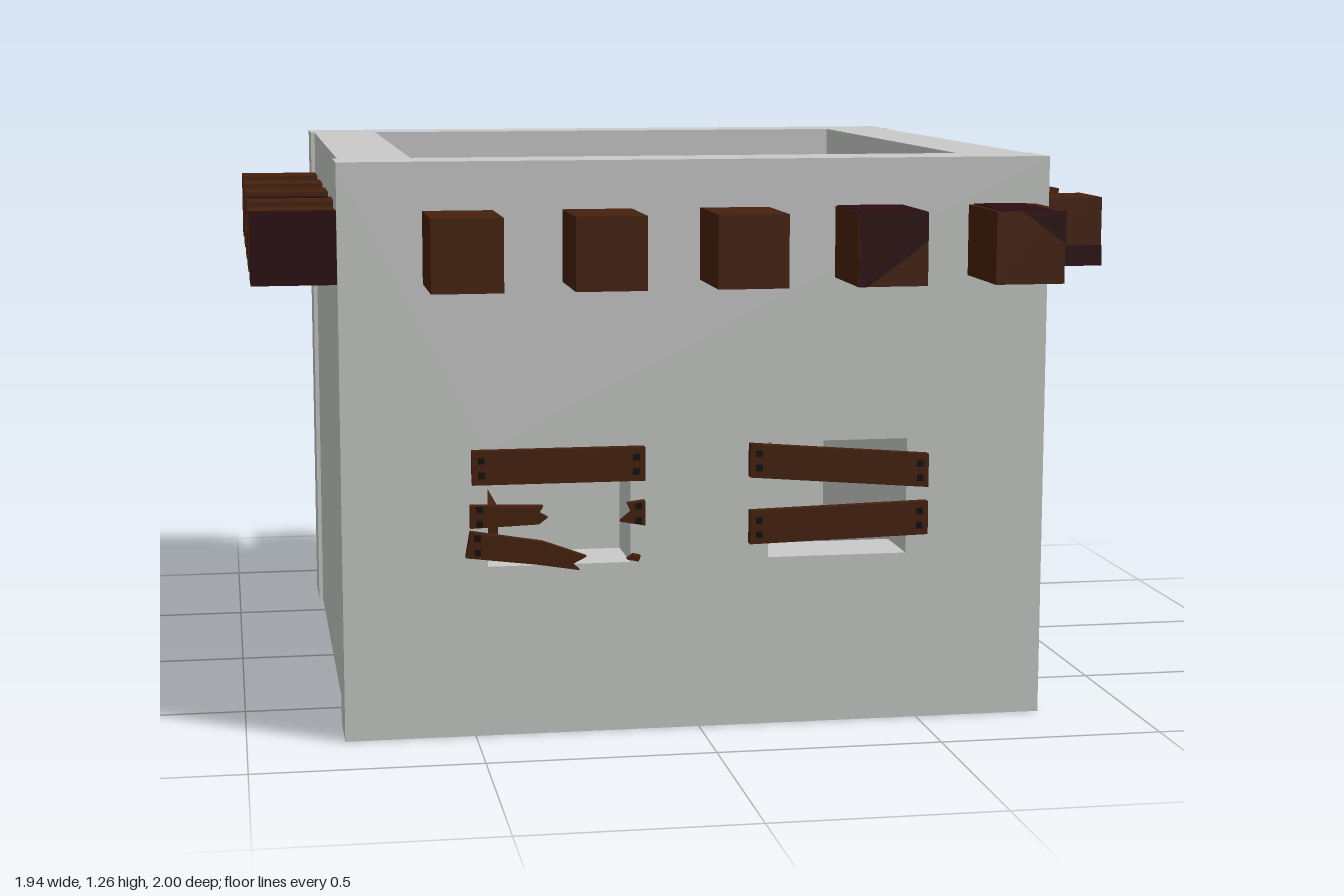
import * as THREE from 'three';

const mat = (name, color) => Object.assign(new THREE.MeshStandardMaterial({ color }), { name });

export function createModel() {
  const root = new THREE.Group();
  root.name = 'stoneHut';
  const stone = mat('stone', 0xc8cac8);
  const wood = mat('wood', 0x46210d);
  const grain = mat('darkGrain', 0x2b0d10);
  const iron = mat('iron', 0x120d0c);

  const add = (name, geo, material, parent = root) => {
    const m = new THREE.Mesh(geo, material);
    m.name = name;
    parent.add(m);
    return m;
  };
  // Box given by its minimum and maximum corners
  const box = (name, material, a, b, parent) => {
    const m = add(name, new THREE.BoxGeometry(b[0] - a[0], b[1] - a[1], b[2] - a[2]), material, parent);
    m.position.set((a[0] + b[0]) / 2, (a[1] + b[1]) / 2, (a[2] + b[2]) / 2);
    return m;
  };
  const poly = (pts) => new THREE.Shape(pts.map(([x, y]) => new THREE.Vector2(x, y)));
  const rect = (x0, y0, x1, y1) => [[x0, y0], [x1, y0], [x1, y1], [x0, y1]];
  const slab = (shape, depth) => new THREE.ExtrudeGeometry(shape, { depth, bevelEnabled: false });

  // Front and back walls with two window openings each
  const W = 0.787, H = 1.265, T = 0.155, IN = 0.632;
  for (const [name, z] of [['frontWall', IN], ['backWall', -W]]) {
    const shape = poly(rect(-W, 0, W, H));
    for (const x of [-0.47, 0.155]) {
      shape.holes.push(new THREE.Path(poly(rect(x, 0.38, x + 0.315, 0.64)).getPoints()));
    }
    add(name, slab(shape, T), stone).position.z = z;
  }

  // Side walls, slightly set back; the left one has the doorway
  const doorSide = poly([[-IN, 0], [0.17, 0], [0.17, 0.64], [0.53, 0.64], [0.53, 0], [IN, 0], [IN, H], [-IN, H]]);
  const plainSide = poly(rect(-IN, 0, IN, H));
  add('doorWall', slab(doorSide, 0.16).rotateY(-Math.PI / 2), stone).position.x = 0.777;
  add('plainWall', slab(plainSide, 0.16).rotateY(-Math.PI / 2), stone).position.x = -0.617;

  // Sunken roof deck with grain streaks
  box('roofDeck', wood, [-0.617, 1.0, -IN], [0.617, 1.16, IN]);
  const streaks = [
    [[-0.16, -0.63], [-0.1, -0.63], [-0.085, -0.1], [-0.05, 0.63], [-0.145, 0.63], [-0.125, 0.1]],
    [[0.15, -0.63], [0.23, -0.63], [0.29, -0.3], [0.36, 0.05], [0.45, 0.63], [0.305, 0.63], [0.265, 0.3], [0.22, -0.05]],
    [[0.1, 0.24], [0.115, 0.35], [0.15, 0.63], [0.135, 0.63]],
    [[0.54, -0.63], [0.61, -0.63], [0.575, -0.565], [0.55, -0.58]],
  ];
  for (const s of streaks) {
    const g = slab(poly(s.map(([x, z]) => [x, -z])), 0.003).rotateX(-Math.PI / 2);
    add('roofStreak', g, grain).position.y = 1.16;
  }

  // Beam ends around the walls
  const B0 = 1.003, B1 = 1.16, BW = 0.152;
  const starts = { front: -0.605, back: -0.757, right: -0.625, left: -0.78 };
  for (const [side, s] of Object.entries(starts)) {
    for (let i = 0; i < 5; i++) {
      const a = s + i * (side === 'right' || side === 'left' ? 0.311 : 0.302), b = a + BW;
      if (side === 'front') box('frontBeam', wood, [a, B0, 0.77], [b, B1, 1]);
      if (side === 'back') box('backBeam', wood, [a, B0, -1], [b, B1, -0.77]);
      if (side === 'right') box('rightBeam', wood, [-0.97, B0, a], [-0.77, B1, b]);
      if (side === 'left') box('leftBeam', wood, [0.77, B0, a], [0.97, B1, b]);
    }
  }

  // Dark grain bands on beam faces, as thin plates
  const e = 0.002;
  const topBands = [
    [0.305, 0.787, 0.45, 1], [0.615, 0.787, 0.73, 1],
    [-0.735, -1, -0.685, -0.787], [-0.15, -1, -0.105, -0.787],
    [0.185, -1, 0.285, -0.787], [0.475, -1, 0.52, -0.787],
    [0.78, -0.78, 0.97, -0.705], [-0.97, 0.31, -0.787, 0.35], [-0.97, 0.755, -0.787, 0.771],
  ];
  for (const [x0, z0, x1, z1] of topBands) box('beamGrain', grain, [x0, B1 - e, z0], [x1, B1 + e, z1]);
  const endBands = [
    [1, [[0.303, 1.003], [0.32, 1.003], [0.4, 1.06], [0.452, 1.1], [0.452, 1.16], [0.303, 1.16]]],
    [1, [[0.66, 1.16], [0.755, 1.09], [0.755, 1.16]]],
    [-1, [[0.45, 1.003], [0.53, 1.06], [0.52, 1.16], [0.475, 1.16]]],
    [-1, [[0.2, 1.003], [0.297, 1.06], [0.285, 1.16], [0.185, 1.16]]],
    [-1, [[-0.757, 1.003], [-0.71, 1.003], [-0.685, 1.16], [-0.735, 1.16]]],
    [0.774, [[-0.97, 1.003], [-0.78, 1.003], [-0.78, 1.16], [-0.97, 1.16]]],
    [0.619, [[0.78, 1.003], [0.97, 1.003], [0.97, 1.05], [0.78, 1.05]]],
  ];
  for (const [z, pts] of endBands) add('beamGrain', slab(poly(pts), 2 * e), grain).position.z = z - e;
  box('beamGrain', grain, [0.753, 1.08, 0.787], [0.757, 1.16, 1]);
  const sideBands = [
    [[-0.78, 1.16], [-0.78, 1.07], [-0.735, 1.09], [-0.705, 1.16]],
    [[0.555, 1.003], [0.617, 1.003], [0.617, 1.04], [0.59, 1.035]],
  ];
  for (const pts of sideBands) {
    add('beamGrain', slab(poly(pts), 2 * e).rotateY(-Math.PI / 2), grain).position.x = 0.97 + e;
  }

  // Boards nailed over the windows: outline and nail positions
  const boards = (name, z, list) => {
    const g = new THREE.Group();
    g.name = name;
    root.add(g);
    for (const [pts, nails = []] of list) {
      add('board', slab(poly(pts), 0.022), wood, g).position.z = z;
      for (const [x, y] of nails) {
        for (const dy of [-0.016, 0.016]) {
          box('nail', iron, [x - 0.007, y + dy - 0.007, z - 0.004], [x + 0.007, y + dy + 0.007, z + 0.026], g);
        }
      }
    }
  };
  // Whole board from the left end height to the right end height
  const whole = (x0, y0, x1, y1, h = 0.075) => [
    [[x0, y0], [x1, y1], [x1, y1 + h], [x0, y0 + h]],
    [[x0 + 0.02, y0 + h / 2], [x1 - 0.02, y1 + h / 2]],
  ];
  boards('frontRightBoards', 0.787, [
    whole(-0.505, 0.565, -0.125, 0.565),
    [[[-0.51, 0.47], [-0.36, 0.475], [-0.34, 0.49], [-0.36, 0.5], [-0.35, 0.515], [-0.51, 0.52]], [[-0.49, 0.495]]],
    [[[-0.18, 0.475], [-0.125, 0.465], [-0.125, 0.52], [-0.165, 0.515], [-0.155, 0.495]], [[-0.14, 0.493]]],
    [[[-0.52, 0.405], [-0.36, 0.385], [-0.27, 0.37], [-0.285, 0.385], [-0.255, 0.4], [-0.35, 0.435], [-0.51, 0.462]],
      [[-0.495, 0.432]]],
    [[[-0.165, 0.39], [-0.14, 0.385], [-0.135, 0.397], [-0.15, 0.4]]],
  ]);
  boards('frontLeftBoards', 0.787, [whole(0.11, 0.565, 0.515, 0.532), whole(0.11, 0.415, 0.515, 0.425)]);
  boards('backLeftBoards', -0.809, [
    whole(0.11, 0.557, 0.5, 0.556), whole(0.1, 0.465, 0.51, 0.468), whole(0.11, 0.362, 0.51, 0.385),
  ]);
  boards('backRightBoards', -0.809, [
    whole(-0.51, 0.562, -0.12, 0.562), whole(-0.515, 0.465, -0.11, 0.475), whole(-0.505, 0.38, -0.125, 0.385),
  ]);

  // Inside: stone bench with a raised ledge, and a wooden chest in the corner
  box('bench', stone, [-0.63, 0, -0.135], [-0.34, 0.24, 0.64]);
  box('benchLedge', stone, [-0.63, 0.24, 0.1], [-0.52, 0.315, 0.64]);
  box('chest', wood, [-0.63, 0.002, -0.64], [-0.33, 0.3, -0.318]);

  return root;
}
